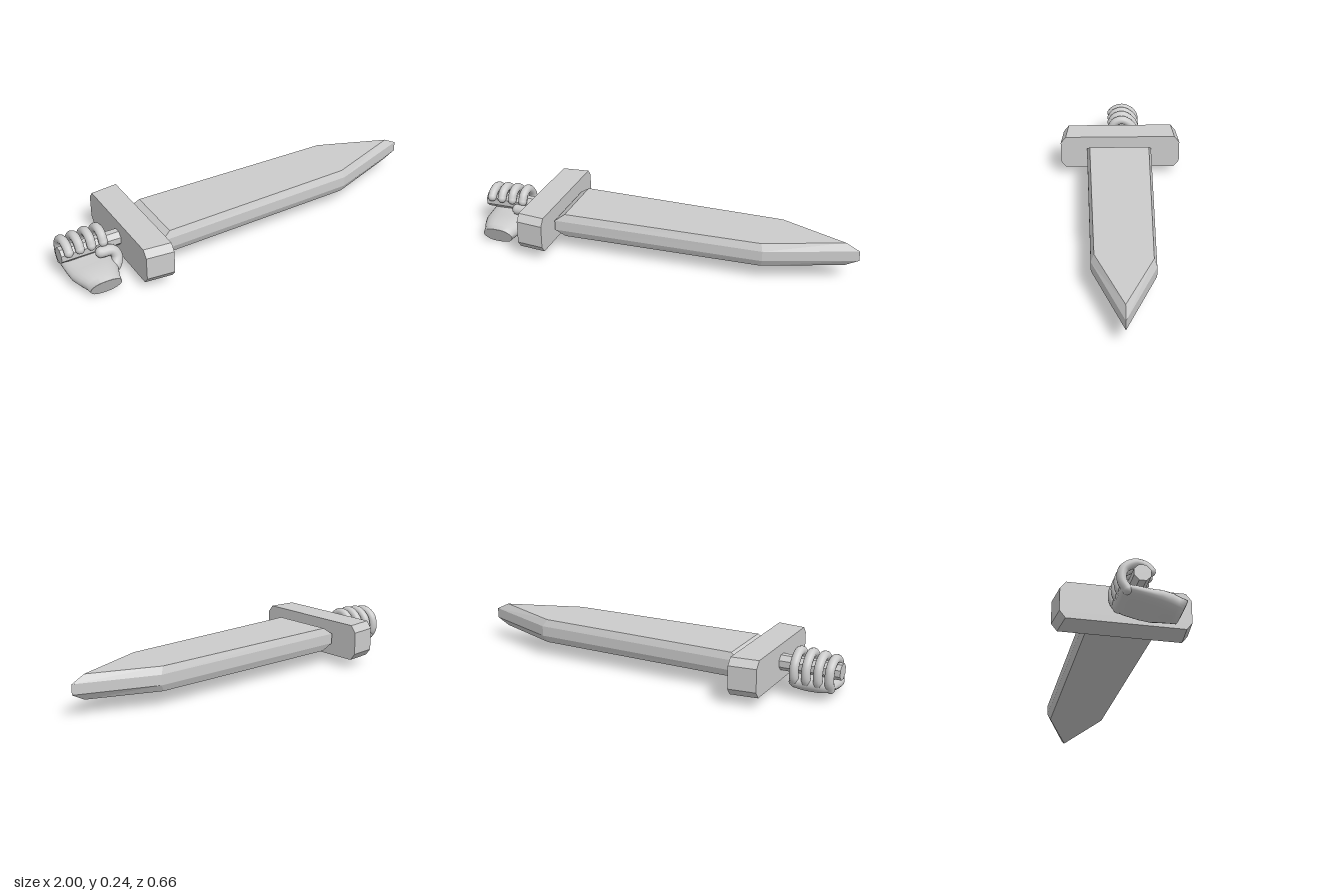
import * as THREE from 'three';

const grey = new THREE.MeshStandardMaterial({ color: 0xcccccc });
grey.name = 'grey';
const flatGrey = grey;

// Skin closed rings of [x, y, z] points into a capped solid; flat gives hard facets
function loft(rings, flat) {
  const n = rings[0].length, idx = [];
  for (let i = 0; i < rings.length - 1; i++) {
    for (let j = 0; j < n; j++) {
      const k = (j + 1) % n, a = i * n + j, b = i * n + k;
      idx.push(a, b, b + n, a, b + n, a + n);
    }
  }
  const last = (rings.length - 1) * n;
  for (let j = 1; j < n - 1; j++) {
    idx.push(0, j + 1, j, last, last + j, last + j + 1);
  }
  let geo = new THREE.BufferGeometry();
  geo.setAttribute('position', new THREE.Float32BufferAttribute(rings.flat(2), 3));
  geo.setIndex(idx);
  if (flat) geo = geo.toNonIndexed();
  geo.computeVertexNormals();
  return geo;
}

function add(parent, name, geo, material = grey) {
  const mesh = new THREE.Mesh(geo, material);
  mesh.name = name;
  parent.add(mesh);
  return mesh;
}

// Rounded tube through points, with ball ends
function digit(parent, name, points, radius) {
  const group = new THREE.Group();
  group.name = name;
  const path = points.map(p => new THREE.Vector3(...p));
  add(group, name + 'Body', new THREE.TubeGeometry(new THREE.CatmullRomCurve3(path), 24, radius, 12));
  for (const end of [path[0], path[path.length - 1]]) {
    add(group, name + 'End', new THREE.SphereGeometry(radius, 12, 8)).position.copy(end);
  }
  parent.add(group);
}

export function createModel() {
  const model = new THREE.Group();
  model.name = 'handWithSword';
  const midY = 0.143;

  // Blade: wide outline in the middle, bevelled inwards above and below
  const outer = [[-0.54, 0.183], [0.55, 0.157], [1, 0], [0.6, -0.155], [-0.54, -0.171]];
  const inner = [[-0.49, 0.167], [0.54, 0.141], [0.93, 0], [0.58, -0.141], [-0.49, -0.157]];
  const level = (outline, y) => outline.map(([x, z]) => [x, y, z]);
  add(model, 'blade', loft([
    level(inner, 0.081), level(outer, 0.117), level(outer, 0.169), level(inner, 0.205),
  ], true), flatGrey);

  // Guard: chamfered bar, slightly longer on the blade side
  const guardRing = (x, w) => [
    [0.058, w], [0.0935, w - 0.028], [0.0935, 0.028 - w], [0.058, -w],
    [-0.058, -w], [-0.0935, 0.028 - w], [-0.0935, w - 0.028], [-0.058, w],
  ].map(([y, z]) => [x, midY + y, z]).reverse();
  const guardRings = [guardRing(-0.69, 0.313), guardRing(-0.55, 0.328)];
  // rings run from +y towards +z so the faces point outwards
  add(model, 'guard', loft(guardRings, true), flatGrey);

  // Grip: eight-sided bar
  const gripGeo = new THREE.CylinderGeometry(0.042, 0.042, 0.32, 8).toNonIndexed();
  gripGeo.rotateY(Math.PI / 8).rotateZ(Math.PI / 2);
  gripGeo.computeVertexNormals();
  add(model, 'grip', gripGeo, flatGrey).position.set(-0.84, midY, 0);

  // Palm and wrist: rounded sections [z, centre x, bottom, top, half width]
  const hand = new THREE.Group();
  hand.name = 'hand';
  model.add(hand);
  const sections = [
    [-0.092, -0.87, 0.062, 0.095, 0.09],
    [-0.078, -0.87, 0.045, 0.108, 0.112],
    [-0.03, -0.865, 0.032, 0.112, 0.12],
    [0.04, -0.86, 0.019, 0.106, 0.124],
    [0.09, -0.86, 0.008, 0.108, 0.12],
    [0.135, -0.86, 0.004, 0.106, 0.102],
    [0.165, -0.858, 0.002, 0.096, 0.088],
    [0.195, -0.857, 0.001, 0.086, 0.081],
  ];
  const sides = 24;
  const palmRings = sections.map(([z, cx, lo, hi, w], i) => Array.from({ length: sides }, (_, j) => {
    const a = j / sides * Math.PI * 2, c = Math.cos(a), s = Math.sin(a);
    const y = (lo + hi) / 2 + (hi - lo) / 2 * s;
    const slant = i > 3 ? (y - lo) * 0.1 * (i - 3) : 0;
    return [cx + w * Math.sign(c) * Math.abs(c) ** 0.8, y, z + slant];
  }));
  add(hand, 'palm', loft(palmRings.slice(0), false));
  // flat wrist end
  const wrist = palmRings[palmRings.length - 1];
  add(hand, 'wristEnd', loft([wrist, wrist.map(([x, y, z]) => [x, y, z + 0.002])], true), flatGrey);

  // Fingers curl from the back of the hand over the grip
  [[-0.964, -0.012], [-0.907, -0.005], [-0.847, 0], [-0.786, 0]].forEach(([x, lift], i) => {
    digit(hand, 'finger' + (i + 1), [
      [x, 0.07, -0.062], [x, 0.11, -0.085], [x, 0.172, -0.077],
      [x, 0.217 + lift, -0.022], [x, 0.205 + lift, 0.025], [x, 0.172, 0.045],
    ], 0.023);
  });

  // Thumb rises beside the guard and bends back along the grip
  digit(hand, 'thumb', [
    [-0.83, 0.05, 0.125], [-0.765, 0.058, 0.11], [-0.737, 0.095, 0.085],
    [-0.752, 0.128, 0.07], [-0.81, 0.132, 0.063],
  ], 0.028);

  return model;
}
